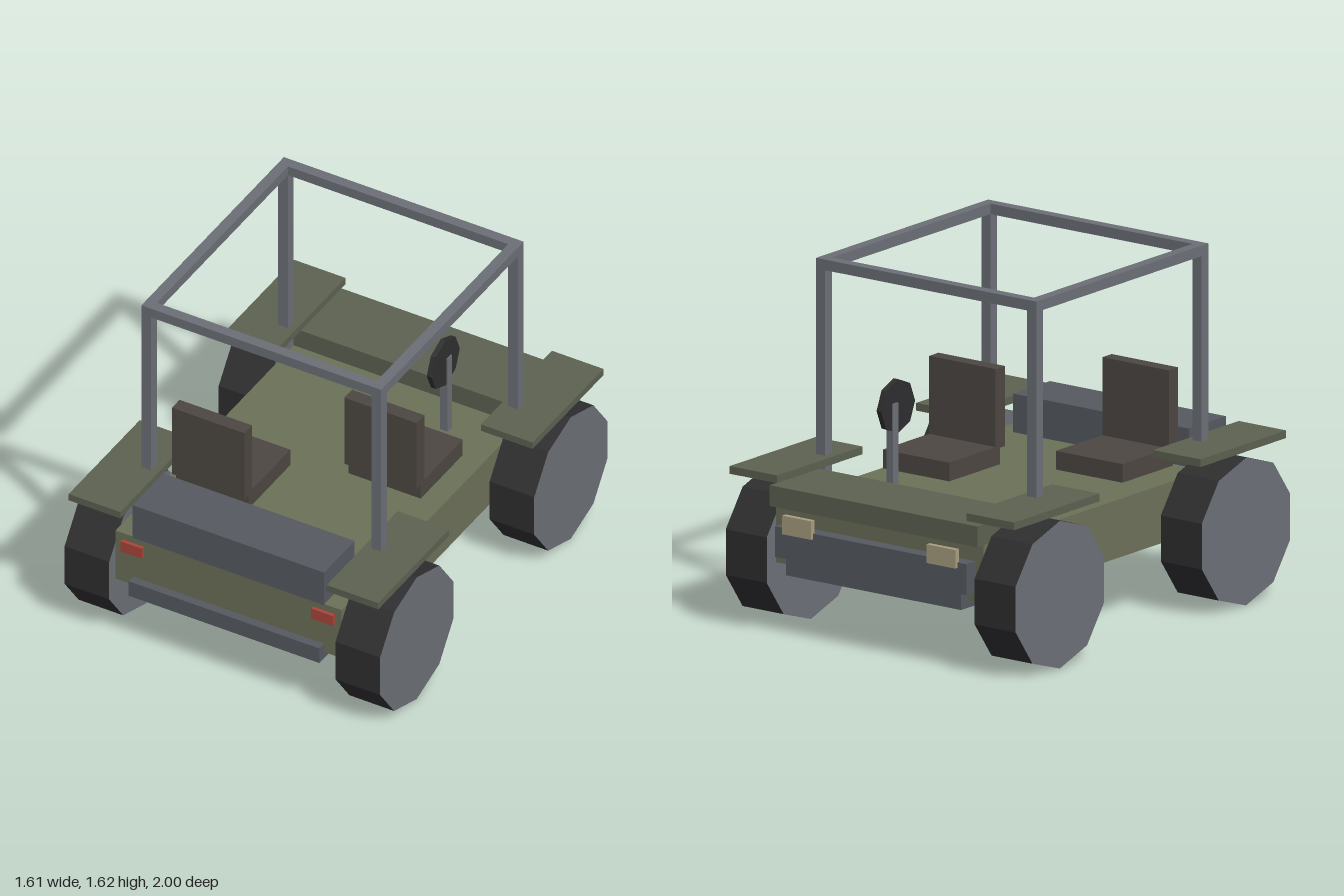
import * as THREE from 'three';

const mat = (color) => new THREE.MeshStandardMaterial({ color, flatShading: true });

export function createModel() {
  const olive = mat(0x6b7058), fenderOlive = mat(0x5c6150), grey = mat(0x6b6f76), darkGrey = mat(0x555960);
  const rubber = mat(0x2e2e30), seatBrown = mat(0x4d4742), red = mat(0xa8443a), tan = mat(0xa89f80);
  const car = new THREE.Group();
  car.name = 'openUtilityCar';

  // Box given by its limits on each axis
  const box = (name, material, [x0, x1], [y0, y1], [z0, z1], parent = car) => {
    const mesh = new THREE.Mesh(new THREE.BoxGeometry(x1 - x0, y1 - y0, z1 - z0), material);
    mesh.position.set((x0 + x1) / 2, (y0 + y1) / 2, (z0 + z1) / 2);
    mesh.name = name;
    parent.add(mesh);
    return mesh;
  };
  // Limits mirrored to the given side
  const side = (s, a, b) => (s > 0 ? [a, b] : [-b, -a]);

  // Disc with its axis along x and a corner at the top
  const disc = (name, material, radius, width, sides, x, y, z) => {
    const geometry = new THREE.CylinderGeometry(radius, radius, width, sides);
    geometry.rotateY(Math.PI / 2).rotateZ(Math.PI / 2);
    const mesh = new THREE.Mesh(geometry, material);
    mesh.position.set(x, y, z);
    mesh.name = name;
    car.add(mesh);
  };

  // Hull, chassis and load box
  box('body', olive, [-0.575, 0.575], [0.315, 0.58], [-0.92, 0.945]);
  box('hood', fenderOlive, [-0.575, 0.575], [0.58, 0.675], [-0.965, -0.61]);
  box('chassis', darkGrey, [-0.485, 0.485], [0.28, 0.36], [-0.965, 0.985]);
  box('grille', darkGrey, [-0.53, 0.53], [0.36, 0.5], [-0.985, -0.91]);
  box('loadBox', darkGrey, [-0.487, 0.487], [0.575, 0.755], [0.68, 0.947]);

  for (const s of [1, -1]) {
    // Wheels with grey faces and dark treads
    for (const z of [0.68, -0.666]) {
      disc('wheel', [rubber, grey, grey], 0.336, 0.227, 10, s * 0.689, 0.338, z);
    }
    // Fenders and lights
    box('rearFender', fenderOlive, side(s, 0.525, 0.787), [0.695, 0.73], [0.37, 0.99]);
    box('frontFender', fenderOlive, side(s, 0.525, 0.787), [0.695, 0.73], [-0.977, -0.358]);
    box('headlight', tan, side(s, 0.32, 0.48), [0.475, 0.56], [-1, -0.975]);
    box('tailLight', red, side(s, 0.43, 0.54), [0.49, 0.545], [0.94, 0.962]);
  }

  // Roll cage: four posts and a top frame
  const cage = new THREE.Group();
  cage.name = 'rollCage';
  car.add(cage);
  const spans = [[-0.585, -0.535], [0.61, 0.66]];
  for (const z of spans) {
    for (const s of [1, -1]) box('cagePost', grey, side(s, 0.56, 0.61), [0.63, 1.575], z, cage);
    box('cageCrossBar', grey, [-0.61, 0.61], [1.575, 1.623], z, cage);
  }
  for (const s of [1, -1]) {
    box('cageSideBar', grey, side(s, 0.56, 0.61), [1.575, 1.623], [-0.535, 0.61], cage);
  }

  // Two seats, one behind the other on opposite sides
  for (const [x, z] of [[0.307, 0.145], [-0.311, 0.59]]) {
    const seat = new THREE.Group();
    seat.name = 'seat';
    car.add(seat);
    const width = [x - 0.184, x + 0.184];
    box('seatCushion', seatBrown, width, [0.615, 0.7], [z - 0.402, z - 0.035], seat);
    box('seatBack', seatBrown, width, [0.69, 1.055], [z - 0.067, z], seat);
  }

  // Steering wheel and column
  disc('steeringWheel', rubber, 0.123, 0.025, 8, 0.307, 0.961, -0.403);
  box('steeringColumn', grey, [0.288, 0.326], [0.575, 0.98], [-0.447, -0.409]);

  return car;
}
